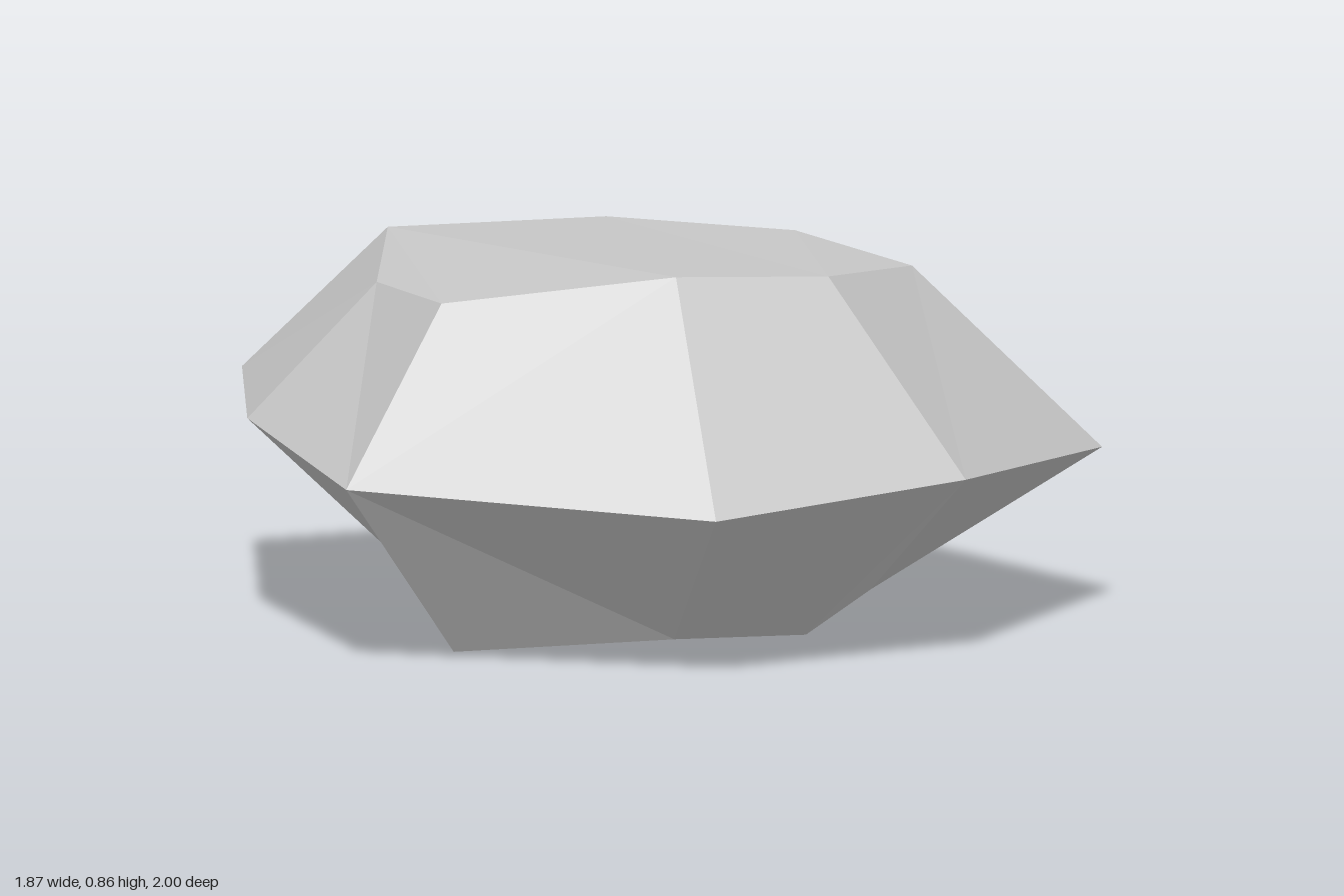
import * as THREE from 'three';

// Three eight-sided rings, each running counterclockwise seen from above
const BASE = [
  [-0.17, 0.05, 0.6], [0.18, 0.02, 0.46], [0.43, 0.06, 0.15], [0.38, 0, -0.22],
  [0.03, 0.12, -0.51], [-0.44, 0.11, -0.485], [-0.53, 0.08, -0.07], [-0.615, 0.01, 0.385],
];
const RIM = [
  [-0.2, 0.38, 1], [0.425, 0.42, 0.86], [0.935, 0.37, 0.25], [0.7, 0.43, -0.4],
  [0.15, 0.45, -1], [-0.71, 0.455, -0.87], [-0.935, 0.47, -0.12], [-0.925, 0.42, 0.575],
];
const CROWN = [
  [-0.16, 0.86, 0.58], [0.21, 0.835, 0.53], [0.52, 0.785, 0.165], [0.37, 0.81, -0.22],
  [0.045, 0.8, -0.58], [-0.48, 0.812, -0.525], [-0.65, 0.77, -0.07], [-0.645, 0.795, 0.39],
];

function facetMesh(name, triangles, material) {
  const geometry = new THREE.BufferGeometry();
  geometry.setAttribute('position', new THREE.Float32BufferAttribute(triangles.flat(2), 3));
  geometry.computeVertexNormals();
  const mesh = new THREE.Mesh(geometry, material);
  mesh.name = name;
  return mesh;
}

// Facets between two rings; the diagonals alternate so they meet at every other rim corner
function band(lower, upper, oddRises) {
  const triangles = [];
  for (let i = 0; i < 8; i++) {
    const j = (i + 1) % 8;
    const [p, q, r, s] = [lower[i], lower[j], upper[j], upper[i]];
    if ((i % 2 === 1) === oddRises) triangles.push([p, q, r], [p, r, s]);
    else triangles.push([p, q, s], [q, r, s]);
  }
  return triangles;
}

export function createModel() {
  const stone = new THREE.MeshStandardMaterial({ color: 0xc8c8c8, flatShading: true });
  stone.name = 'stone grey';

  const pick = (ring, faces) => faces.map((face) => face.map((i) => ring[i]));
  const top = pick(CROWN, [[1, 2, 3], [1, 3, 4], [0, 1, 4], [0, 4, 5], [0, 5, 7], [5, 6, 7]]);
  const bottom = pick(BASE, [[3, 2, 1], [4, 3, 1], [4, 1, 0], [5, 4, 0], [7, 5, 0], [7, 6, 5]]);

  const rock = new THREE.Group();
  rock.name = 'rock';
  rock.add(
    facetMesh('rockTop', top, stone),
    facetMesh('upperSides', band(RIM, CROWN, true), stone),
    facetMesh('lowerSides', band(BASE, RIM, false), stone),
    facetMesh('rockUnderside', bottom, stone),
  );
  return rock;
}
